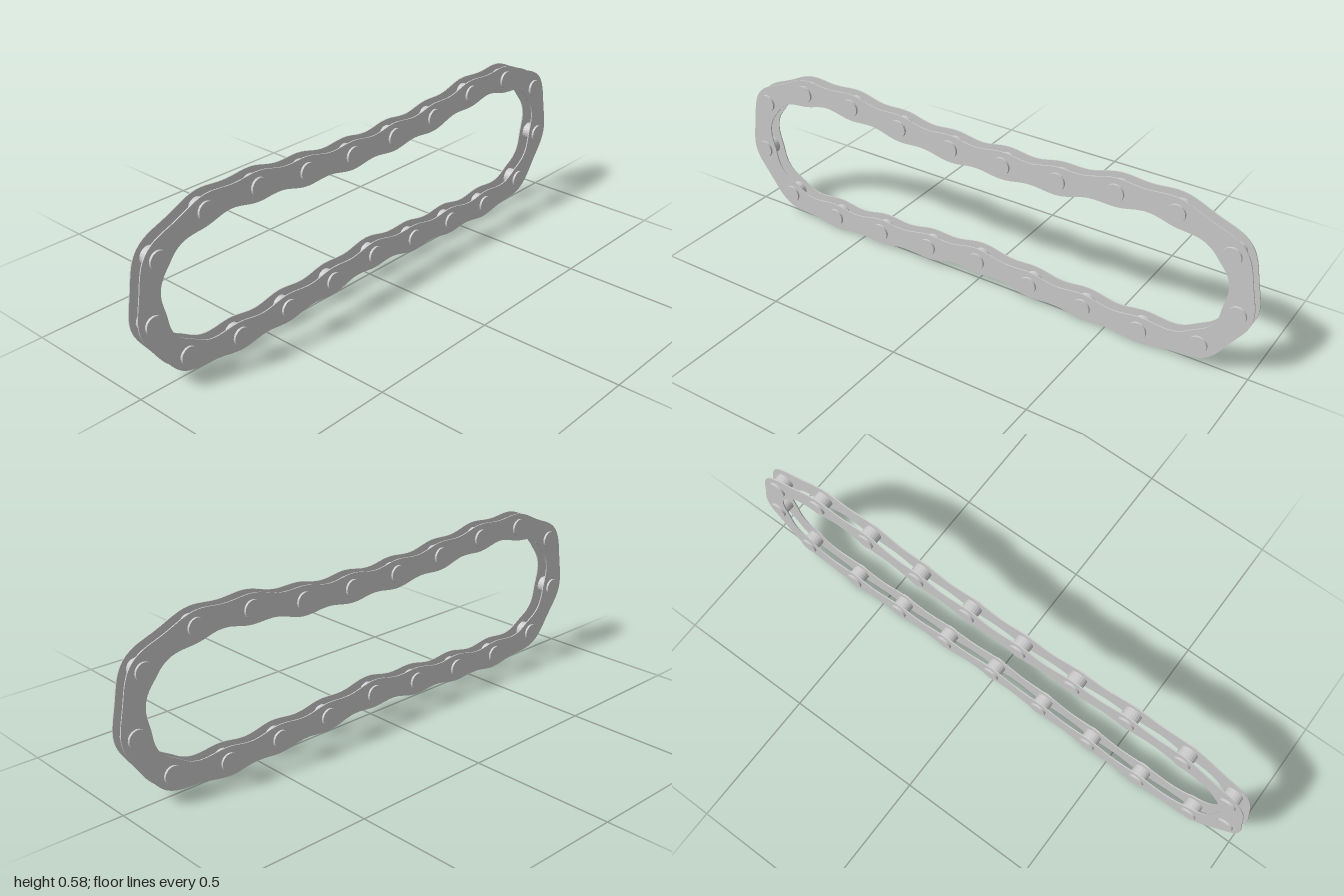
import * as THREE from 'three';

// Pin centres, clockwise from the top left
const PINS = [
  [-0.913, 0.44], [-0.729, 0.526], [-0.521, 0.529], [-0.315, 0.508], [-0.105, 0.493],
  [0.1, 0.493], [0.306, 0.501], [0.513, 0.528], [0.72, 0.526], [0.908, 0.441],
  [0.947, 0.242],
  [0.835, 0.084], [0.626, 0.051], [0.419, 0.058], [0.212, 0.067], [0.002, 0.085],
  [-0.205, 0.069], [-0.414, 0.058], [-0.622, 0.051], [-0.831, 0.083],
  [-0.947, 0.241],
];

const STEPS = 14;           // samples per link
const PLATE_Z = 0.021;
const PLATE_THICKNESS = 0.004;

// One edge of the plate band: wide at each pin, waisted between pins
function bandEdge(path, side) {
  const points = [];
  const count = PINS.length * STEPS;
  for (let i = 0; i < count; i++) {
    const p = path.getPoint(i / count);
    const t = path.getTangent(i / count);
    const half = 0.0445 + 0.006 * Math.cos((i / STEPS) * Math.PI * 2);
    points.push(new THREE.Vector2(p.x - side * t.y * half, p.y + side * t.x * half));
  }
  return points;
}

export function createModel() {
  const model = new THREE.Group();
  model.name = 'chainLoop';
  const plateMaterial = new THREE.MeshStandardMaterial({ color: 0xcccccc });
  const pinMaterial = new THREE.MeshStandardMaterial({ color: 0xcccccc, flatShading: true });

  // Side plates: a closed wavy band on each side; the hole runs opposite to the outline
  const path = new THREE.CatmullRomCurve3(
    PINS.map(([x, y]) => new THREE.Vector3(x, y, 0)), true, 'centripetal');
  const band = new THREE.Shape(bandEdge(path, 1));
  band.holes.push(new THREE.Path(bandEdge(path, -1).reverse()));
  const plateGeometry = new THREE.ExtrudeGeometry(band, { depth: PLATE_THICKNESS, bevelEnabled: false });
  plateGeometry.translate(0, 0, -PLATE_THICKNESS / 2);
  for (const [name, z] of [['frontPlates', PLATE_Z], ['backPlates', -PLATE_Z]]) {
    const plates = new THREE.Mesh(plateGeometry, plateMaterial);
    plates.name = name;
    plates.position.z = z;
    model.add(plates);
  }

  // Pins through both plates
  const pinGeometry = new THREE.CylinderGeometry(0.031, 0.031, 0.062, 20);
  pinGeometry.rotateX(Math.PI / 2);
  const pins = new THREE.Group();
  pins.name = 'pins';
  for (const [x, y] of PINS) {
    const pin = new THREE.Mesh(pinGeometry, pinMaterial);
    pin.name = 'pin';
    pin.position.set(x, y, 0);
    pins.add(pin);
  }
  model.add(pins);
  return model;
}
